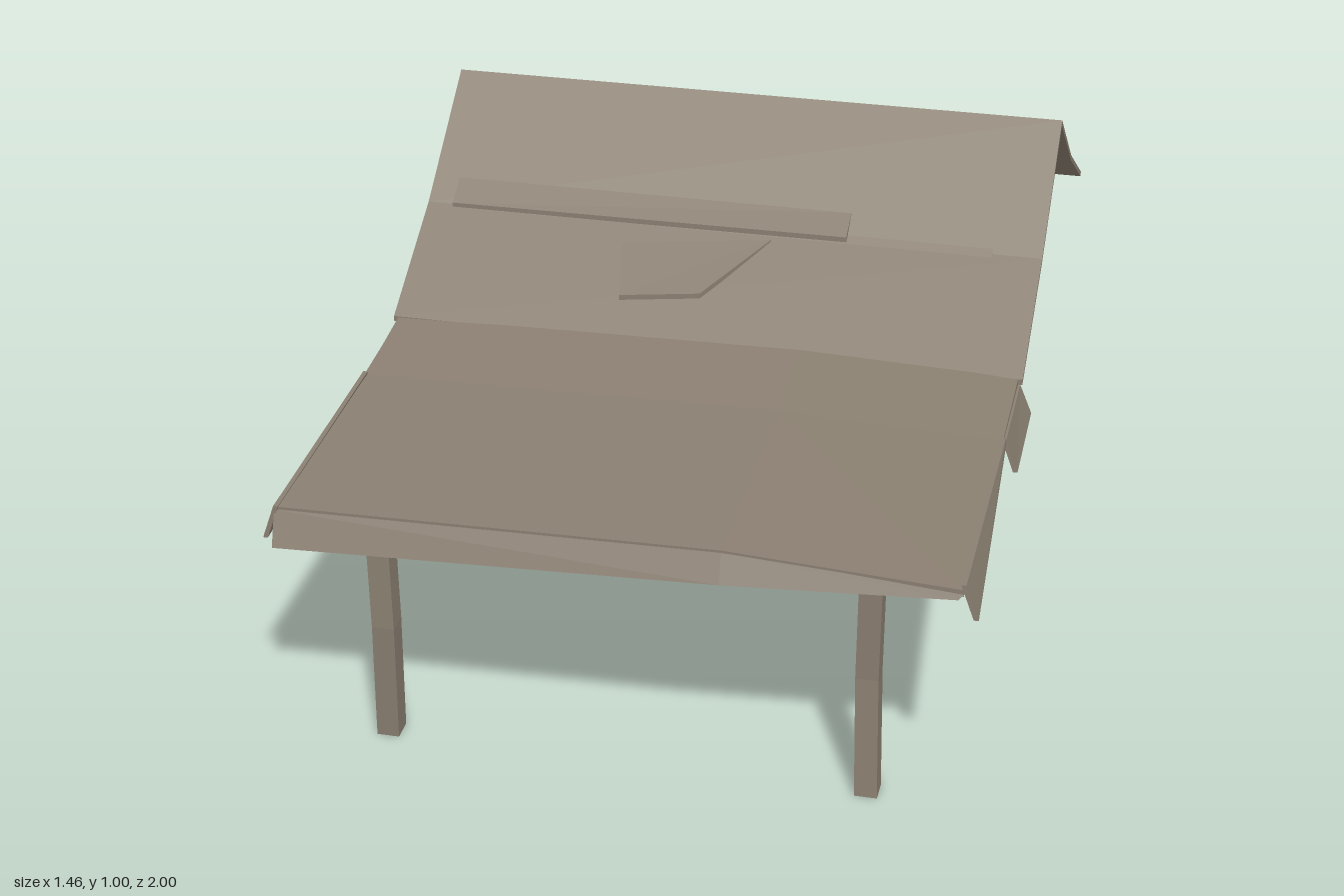
import * as THREE from 'three';
import { ConvexGeometry } from 'three/addons/geometries/ConvexGeometry.js';

export function createModel() {
  const wood = new THREE.MeshStandardMaterial({ color: 0x8a7f71, side: THREE.DoubleSide, flatShading: true });
  wood.name = 'weathered wood';
  const model = new THREE.Group();
  model.name = 'cabin';

  function add(name, geometry, parent = model) {
    const mesh = new THREE.Mesh(geometry, wood);
    mesh.name = name;
    parent.add(mesh);
    return mesh;
  }
  function box(name, w, h, d, x, y, z, parent) {
    const mesh = add(name, new THREE.BoxGeometry(w, h, d), parent);
    mesh.position.set(x, y, z);
    return mesh;
  }
  const hull = (name, points) =>
    add(name, new ConvexGeometry(points.map(p => new THREE.Vector3(...p))));

  // Closed bent board: a grid of points, thickened along an offset
  function slab(name, rows, offset) {
    const n = rows.length, m = rows[0].length, pos = [];
    const at = (i, j, k) => rows[i][j].map((v, a) => v + k * offset[a]);
    const quad = (a, b, c, d) => pos.push(...a, ...b, ...c, ...a, ...c, ...d);
    for (let i = 0; i < n - 1; i++) for (let j = 0; j < m - 1; j++) {
      quad(at(i, j, 0), at(i + 1, j, 0), at(i + 1, j + 1, 0), at(i, j + 1, 0));
      quad(at(i, j, 1), at(i, j + 1, 1), at(i + 1, j + 1, 1), at(i + 1, j, 1));
    }
    for (let i = 0; i < n - 1; i++) {
      quad(at(i, 0, 0), at(i, 0, 1), at(i + 1, 0, 1), at(i + 1, 0, 0));
      quad(at(i, m - 1, 0), at(i + 1, m - 1, 0), at(i + 1, m - 1, 1), at(i, m - 1, 1));
    }
    for (let j = 0; j < m - 1; j++) {
      quad(at(0, j, 0), at(0, j + 1, 0), at(0, j + 1, 1), at(0, j, 1));
      quad(at(n - 1, j, 0), at(n - 1, j, 1), at(n - 1, j + 1, 1), at(n - 1, j + 1, 0));
    }
    const g = new THREE.BufferGeometry();
    g.setAttribute('position', new THREE.Float32BufferAttribute(pos, 3));
    g.computeVertexNormals();
    return add(name, g);
  }

  // Four walls, open at the bottom
  const wallGeo = new THREE.BoxGeometry(1.16, 0.62, 0.88);
  const idx = Array.from(wallGeo.index.array);
  wallGeo.clearGroups();
  wallGeo.setIndex([...idx.slice(0, 12), ...idx.slice(24)]);
  add('walls', wallGeo).position.set(0, 0.31, -0.41);

  // Two cornice bands with a warped lower edge
  function cornice(name, w, d, y0, y1, z) {
    const g = new THREE.BoxGeometry(w, y1 - y0, d, 2, 1, 2), p = g.attributes.position;
    for (let i = 0; i < p.count; i++) {
      const corner = Math.abs(p.getX(i)) > 0.1 && Math.abs(p.getZ(i)) > 0.1;
      if (p.getY(i) < 0 && !corner) p.setY(i, p.getY(i) + 0.02);
    }
    g.computeVertexNormals();
    add(name, g).position.set(0, (y0 + y1) / 2, z);
  }
  cornice('lowerCornice', 1.2, 0.9, 0.583, 0.63, -0.41);
  cornice('upperCornice', 1.25, 0.95, 0.628, 0.675, -0.415);

  // Gable block under the roof
  hull('gables', [-0.6, 0.6].flatMap(x => [
    [x, 0.66, 0.05], [x, 0.675, 0.05], [x, 0.975, -0.41], [x, 0.66, -0.88], [x, 0.67, -0.88]]));

  // Main roof, dished on both slopes
  const profile = [[0.165, 0.63], [-0.12, 0.785], [-0.41, 0.997], [-0.7, 0.785], [-1, 0.612]];
  slab('mainRoof', profile.map(([z, y]) => [-0.71, 0.71].map(x => [x, y, z])), [0, -0.013, 0]);

  // Loose boards lying on the front slope
  slab('longRoofPatch', [
    [[-0.65, 0.791, -0.113], [0.27, 0.796, -0.113]],
    [[-0.65, 0.828, -0.175], [0.27, 0.828, -0.175]]], [0, -0.012, 0]);
  slab('smallRoofPatch', [
    [[-0.21, 0.692, 0.075], [-0.03, 0.705, 0.055]],
    [[-0.235, 0.757, -0.06], [0.1, 0.778, -0.1]]], [0, -0.012, 0]);

  // Sagging porch roof
  const xs = [-0.7, 0.22, 0.7];
  const porchRows = [
    [0.16, [0.628, 0.645, 0.63]], [0.4, [0.605, 0.622, 0.608]], [0.97, [0.598, 0.615, 0.588]]];
  slab('porchRoof', porchRows.map(([z, ys]) => xs.map((x, i) => [x, ys[i], z])), [0, -0.015, 0]);

  // Tilted front fascia
  slab('frontFascia', [
    [[-0.705, 0.592, 0.972], [0.22, 0.61, 0.972], [0.705, 0.582, 0.968]],
    [[-0.705, 0.518, 1], [0.22, 0.552, 0.998], [0.69, 0.567, 0.975]]], [0, 0, -0.012]);

  // Flared side fascias: a tapering board and a short board on each side
  for (const s of [-1, 1]) {
    slab('sideFascia', [
      [[s * 0.705, 0.612, 0.4], [s * 0.705, 0.602, 0.975]],
      [[s * 0.707, 0.6, 0.4], [s * 0.732, 0.525, 0.975]]], [-s * 0.01, 0, 0]);
    slab('shortSideFascia', [
      [[s * 0.705, 0.615, 0.16], [s * 0.705, 0.602, 0.385]],
      [[s * 0.732, 0.548, 0.16], [s * 0.732, 0.525, 0.385]]], [-s * 0.01, 0, 0]);
  }

  // Porch posts, each bent in the middle
  function post(name, x, bendX, bendZ, top) {
    const ring = (y, dx, dz) => [[-1, -1], [1, -1], [1, 1], [-1, 1]]
      .map(([a, b]) => [x + dx + a * 0.024, y, 0.85 + dz + b * 0.025]);
    const middle = ring(0.28, bendX, bendZ);
    hull(name + 'Lower', [...ring(0, 0, 0), ...middle]);
    hull(name + 'Upper', [...middle, ...ring(top, 0, 0)]);
  }
  post('rightPost', -0.527, 0.008, 0.014, 0.59);
  post('leftPost', 0.504, -0.006, -0.014, 0.59);

  // Framed opening: four slim bars around a thin panel
  function framed(name, w, h, bar) {
    const g = new THREE.Group();
    g.name = name;
    for (const s of [-1, 1]) {
      box('sideBar', bar, h, 0.024, s * (w - bar) / 2, 0, 0, g);
      box('crossBar', w - 2 * bar, bar, 0.024, 0, s * (h - bar) / 2, 0, g);
    }
    box('panel', w - 2 * bar, h - 2 * bar, 0.008, 0, 0, 0, g);
    model.add(g);
    return g;
  }

  // Door with a raised panel and a threshold
  const door = framed('door', 0.34, 0.515, 0.014);
  door.position.set(-0.21, 0.272, 0.032);
  box('doorInset', 0.245, 0.4, 0.014, 0.007, -0.027, 0, door);
  hull('threshold', [0.022, 0.042].flatMap(z => [
    [-0.38, 0, z], [-0.38, 0.012, z], [-0.04, 0.016, z], [-0.04, 0.026, z]]));

  // Windows on the front and both sides
  const front = framed('frontWindow', 0.195, 0.325, 0.012);
  front.position.set(0.178, 0.377, 0.032);
  front.rotation.z = -0.025;
  const left = framed('leftWindow', 0.2, 0.33, 0.012);
  left.position.set(0.576, 0.37, -0.15);
  left.rotation.y = Math.PI / 2;
  const right = framed('rightWindow', 0.2, 0.32, 0.012);
  right.position.set(-0.576, 0.38, -0.67);
  right.rotation.y = -Math.PI / 2;

  return model;
}
